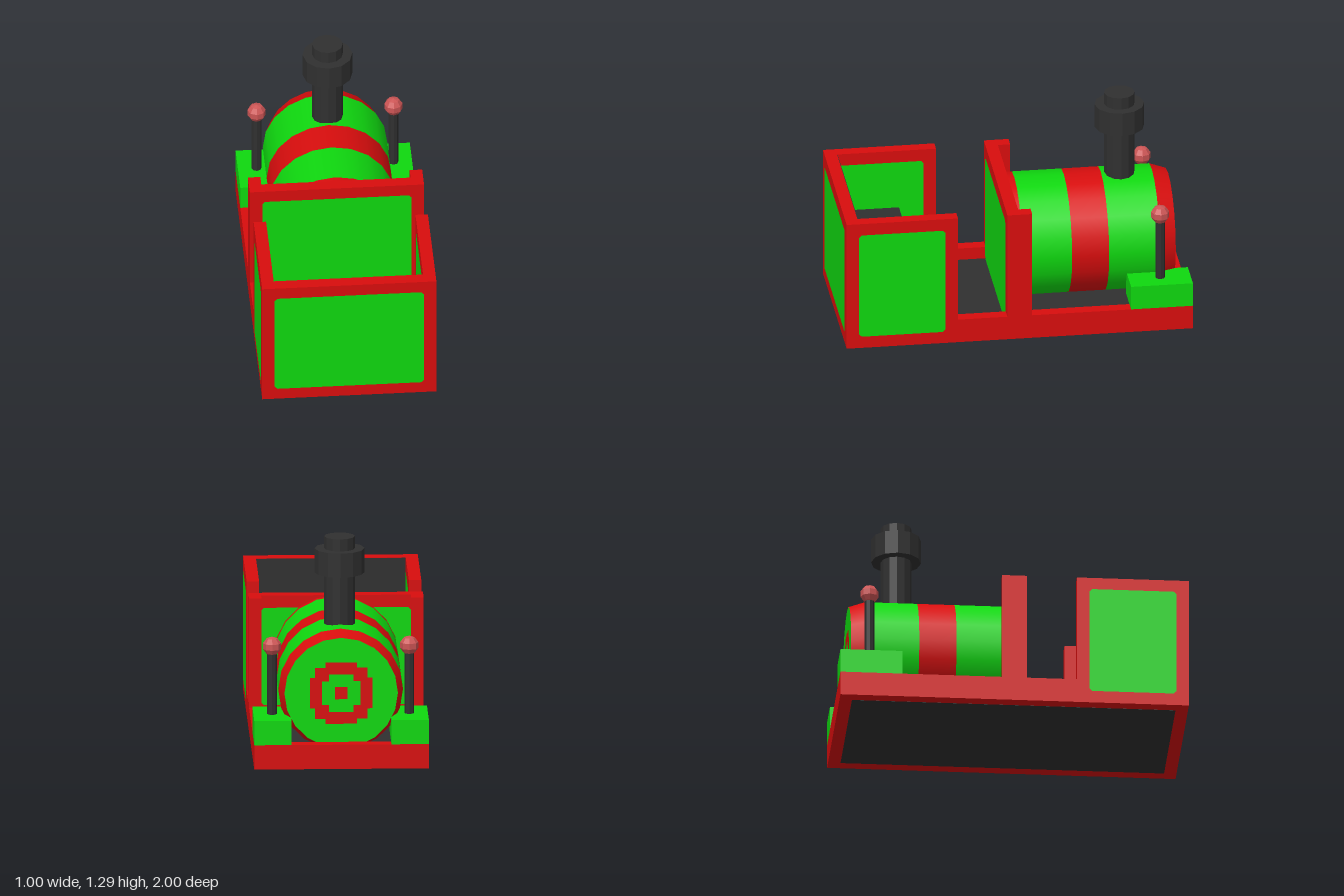
import * as THREE from 'three';

const U = 1 / 14; // building unit: 14 wide, 28 long

export function createModel() {
  const model = new THREE.Group();
  model.name = 'steamEngine';
  const mat = (name, color) => {
    const m = new THREE.MeshStandardMaterial({ color });
    m.name = name;
    return m;
  };
  const red = mat('red paint', 0xd80d0d);
  const green = mat('green paint', 0x0fd80f);
  const dark = mat('dark iron', 0x303030);
  const lampRed = mat('lamp glass', 0xcc5555);

  const add = (name, geo, material, x = 0, y = 0, z = 0) => {
    const mesh = new THREE.Mesh(geo, material);
    mesh.name = name;
    mesh.position.set(x, y, z);
    model.add(mesh);
    return mesh;
  };
  // Box from its limits, in building units
  const box = (name, material, x0, x1, y0, y1, z0, z1) =>
    add(name, new THREE.BoxGeometry((x1 - x0) * U, (y1 - y0) * U, (z1 - z0) * U), material,
      (x0 + x1) / 2 * U, (y0 + y1) / 2 * U, (z0 + z1) / 2 * U);
  const flat = (geo) => {
    const g = geo.toNonIndexed();
    g.computeVertexNormals();
    return g;
  };
  // Painted panel with slightly rounded corners, facing +z before turning
  const panel = (name, w, h, x, y, z, turn) => {
    const a = w * U / 2, b = h * U / 2, r = 0.016;
    const s = new THREE.Shape();
    s.moveTo(-a + r, -b).lineTo(a - r, -b).lineTo(a, -b + r).lineTo(a, b - r)
      .lineTo(a - r, b).lineTo(-a + r, b).lineTo(-a, b - r).lineTo(-a, -b + r);
    add(name, new THREE.ShapeGeometry(s), green, x, y * U, z).rotation.y = turn;
  };
  const e = 0.002;

  // Chassis: floor, rails and underside
  box('floor', dark, -6, 6, 0.1, 1, -13, 13);
  box('underside', dark, -6, 6, -0.01, 0.1, -13, 13);
  box('rearRail', red, -7, 7, 0, 2, -14, -13);
  for (const s of [-1, 1]) {
    box('sideRail', red, Math.min(s * 6, s * 7), Math.max(s * 6, s * 7), 0, 2, -13, 13);
  }

  // Front cab: end wall, side walls and bench
  box('endWall', red, -7, 7, 0, 11, 13, 14);
  box('endWallLining', dark, -6, 6, 1, 10.95, 12.95, 13);
  panel('endPanel', 12, 9, 0, 5.5, 1 + e, 0);
  box('bench', dark, -6, 6, 1, 6, 8, 13);
  for (const s of [-1, 1]) {
    const x0 = Math.min(s * 6, s * 7);
    box('sideWall', red, x0, x0 + 1, 2, 11, 5, 13);
    panel('sidePanelOuter', 7, 9, s * (0.5 + e), 5.5, 9.5 * U, s * Math.PI / 2);
    panel('sidePanelInner', 7, 8, s * (6 * U - e), 6, 9.5 * U, -s * Math.PI / 2);
    box('bulkheadPost', red, x0, x0 + 1, 2, 11, -1, 1);
  }

  // Bulkhead between cab and boiler
  box('bulkhead', red, -6, 6, 1, 11, 0, 1);
  panel('bulkheadFrontPanel', 12, 9, 0, 5.5, U + e, 0);
  panel('bulkheadRearPanel', 12, 8, 0, 6, -e, Math.PI);

  // Boiler: coloured bands running toward -z
  const R = 5 * U, axis = 6 * U, endR = 0.325, endZ = -0.925;
  const bands = [
    [0, 0.036, R, R, red], [0.036, 0.322, R, R, green], [0.322, 0.536, R, R, red],
    [0.536, 0.83, R, R, green], [0.83, -endZ, R, endR, red],
  ];
  for (const [a, b, r0, r1, m] of bands) {
    const g = new THREE.CylinderGeometry(r1, r0, b - a, 20, 1, true);
    g.rotateX(-Math.PI / 2);
    add('boilerBand', g, m, 0, axis, -(a + b) / 2);
  }
  const end = new THREE.CircleGeometry(endR, 20, Math.PI / 2);
  add('boilerEnd', end, green, 0, axis, endZ).rotation.y = Math.PI;

  // Stepped target on the boiler end, from one quadrant turned four times
  const stepped = (target, quadrant) => {
    for (let k = 0; k < 4; k++) {
      const c = [1, 0, -1, 0][k], s = [0, 1, 0, -1][k];
      quadrant.forEach(([x, y], i) => {
        const px = x * c - y * s, py = x * s + y * c;
        if (k === 0 && i === 0) target.moveTo(px, py);
        else target.lineTo(px, py);
      });
    }
    return target;
  };
  const ring = stepped(new THREE.Shape(),
    [[0.18, 0.09], [0.15, 0.09], [0.15, 0.15], [0.09, 0.15], [0.09, 0.18]]);
  ring.holes.push(stepped(new THREE.Path(), [[0.11, 0.07], [0.07, 0.07], [0.07, 0.11]]));
  add('targetRing', new THREE.ShapeGeometry(ring), red, 0, axis, endZ - e).rotation.y = Math.PI;
  add('targetCentre', new THREE.PlaneGeometry(U, U), red, 0, axis, endZ - e).rotation.y = Math.PI;

  // Chimney
  const tube = (name, r, y0, y1) =>
    add(name, flat(new THREE.CylinderGeometry(r, r, y1 - y0, 12)), dark, 0, (y0 + y1) / 2, -9 * U);
  tube('chimneyPipe', 0.088, 0.74, 1.286);
  tube('chimneyCollar', 2 * U, 1.073, 1.215);

  // Rear blocks carrying lamp posts
  for (const s of [-1, 1]) {
    box('rearBlock', green, Math.min(s * 4, s * 7), Math.max(s * 4, s * 7), 2, 4, -14, -9);
    add('lampPost', flat(new THREE.CylinderGeometry(0.028, 0.028, 0.38, 8)), dark,
      s * 5.5 * U, 0.465, -0.825);
    add('lamp', flat(new THREE.SphereGeometry(0.055, 8, 5)), lampRed, s * 5.5 * U, 0.685, -0.825);
  }
  return model;
}
